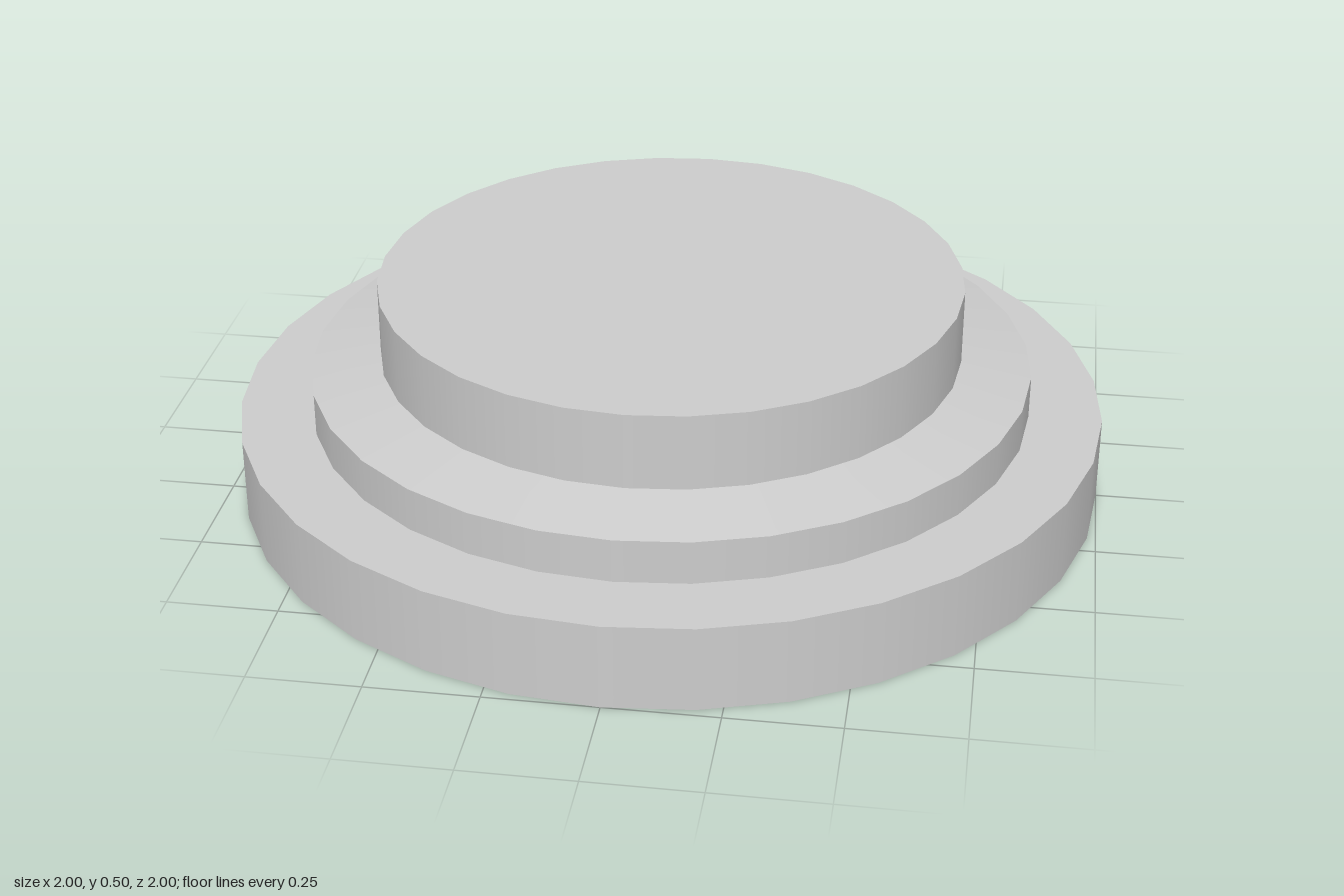
import * as THREE from 'three';

export function createModel() {
  const group = new THREE.Group();
  group.name = 'steppedDisc';
  const grey = new THREE.MeshStandardMaterial({ color: 0xcccccc });
  grey.name = 'plainGrey';

  // Each tier stands on the one below: name, bottom radius, top radius, bottom y, top y
  const tiers = [
    ['basePlate', 1, 1, 0, 0.197],
    ['middleStep', 0.832, 0.832, 0.197, 0.297],
    ['slopedShoulder', 0.832, 0.671, 0.297, 0.327],
    ['topDrum', 0.671, 0.671, 0.327, 0.502],
  ];
  for (const [name, rBottom, rTop, y0, y1] of tiers) {
    const mesh = new THREE.Mesh(new THREE.CylinderGeometry(rTop, rBottom, y1 - y0, 32), grey);
    mesh.name = name;
    mesh.position.y = (y0 + y1) / 2;
    group.add(mesh);
  }
  return group;
}
